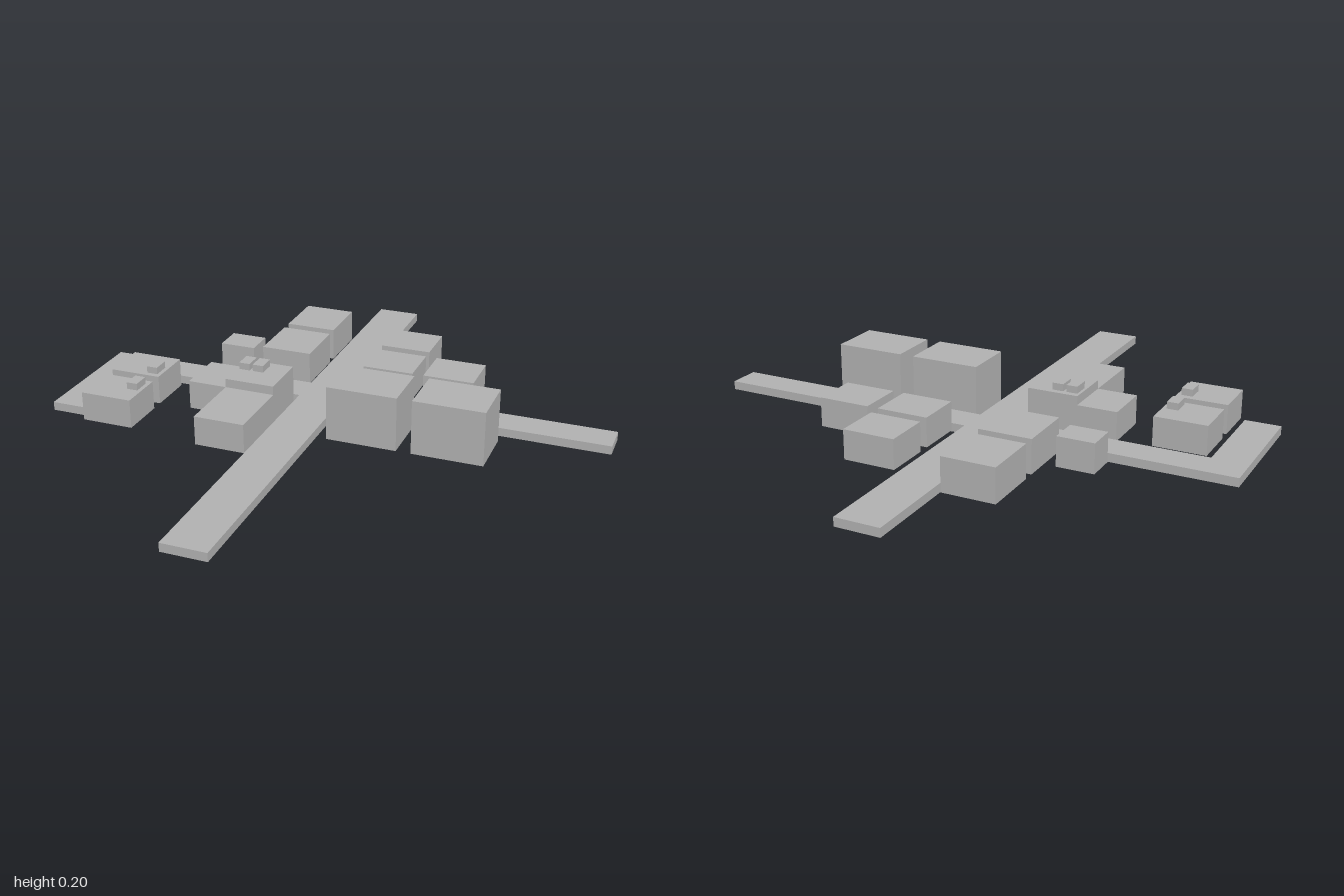
import * as THREE from 'three';

export function createModel() {
  const model = new THREE.Group();
  model.name = 'village';
  const grey = new THREE.MeshStandardMaterial({ color: 0xb0b0b0 });
  grey.name = 'plain grey';

  // Box given by its extents on each axis
  function block(name, [x0, x1], [y0, y1], [z0, z1]) {
    const mesh = new THREE.Mesh(new THREE.BoxGeometry(x1 - x0, y1 - y0, z1 - z0), grey);
    mesh.position.set((x0 + x1) / 2, (y0 + y1) / 2, (z0 + z1) / 2);
    mesh.name = name;
    model.add(mesh);
  }

  // Crossing roads with a side street, one slab outlined in x and z
  const outline = [
    [-0.167, -1], [-0.008, -1], [-0.008, -0.2], [0.967, -0.2], [0.967, -0.084],
    [-0.008, -0.084], [-0.008, 1], [-0.167, 1], [-0.167, -0.084], [-0.842, -0.084],
    [-0.842, 0.286], [-0.97, 0.286], [-0.97, -0.2], [-0.167, -0.2],
  ];
  const roadShape = new THREE.Shape(outline.map(([x, z]) => new THREE.Vector2(x, -z)));
  const roadGeometry = new THREE.ExtrudeGeometry(roadShape, { depth: 0.031, bevelEnabled: false });
  roadGeometry.rotateX(-Math.PI / 2);
  const roads = new THREE.Mesh(roadGeometry, grey);
  roads.position.y = 0.006;
  roads.name = 'roads';
  model.add(roads);

  // Two tall buildings beside the crossing
  for (const x of [0.024, 0.33]) block('tallBuilding', [x, x + 0.253], [0, 0.197], [-0.054, 0.14]);

  // Three houses in the back left quarter
  const low = [0.02, 0.125];
  for (const [x, z] of [[0.03, -0.6], [0.03, -0.391], [0.258, -0.391]]) {
    block('house', [x, x + 0.187], low, [z, z + 0.168]);
  }

  // Two larger houses and a shed in the back right quarter
  for (const z of [-0.68, -0.433]) block('largeHouse', [-0.371, -0.183], [0.02, 0.14], [z, z + 0.207]);
  block('shed', [-0.546, -0.413], low, [-0.342, -0.234]);

  // Two cottages with chimneys by the side street
  for (const [z, chimneyZ] of [[-0.04, 0.047], [0.172, 0.195]]) {
    block('cottage', [-0.813, -0.625], low, [z, z + 0.168]);
    block('cottageChimney', [-0.68, -0.64], [0.125, 0.15], [chimneyZ, chimneyZ + 0.062]);
  }

  // Manor: side wing, front wing, raised core and twin chimneys
  block('manorSideWing', [-0.506, -0.362], low, [-0.06, 0.121]);
  block('manorFrontWing', [-0.362, -0.18], low, [0.121, 0.372]);
  block('manorCore', [-0.362, -0.18], [0.02, 0.157], [-0.06, 0.121]);
  for (const x of [-0.352, -0.3]) block('manorChimney', [x, x + 0.04], [0.157, 0.182], [-0.038, 0.025]);

  return model;
}
